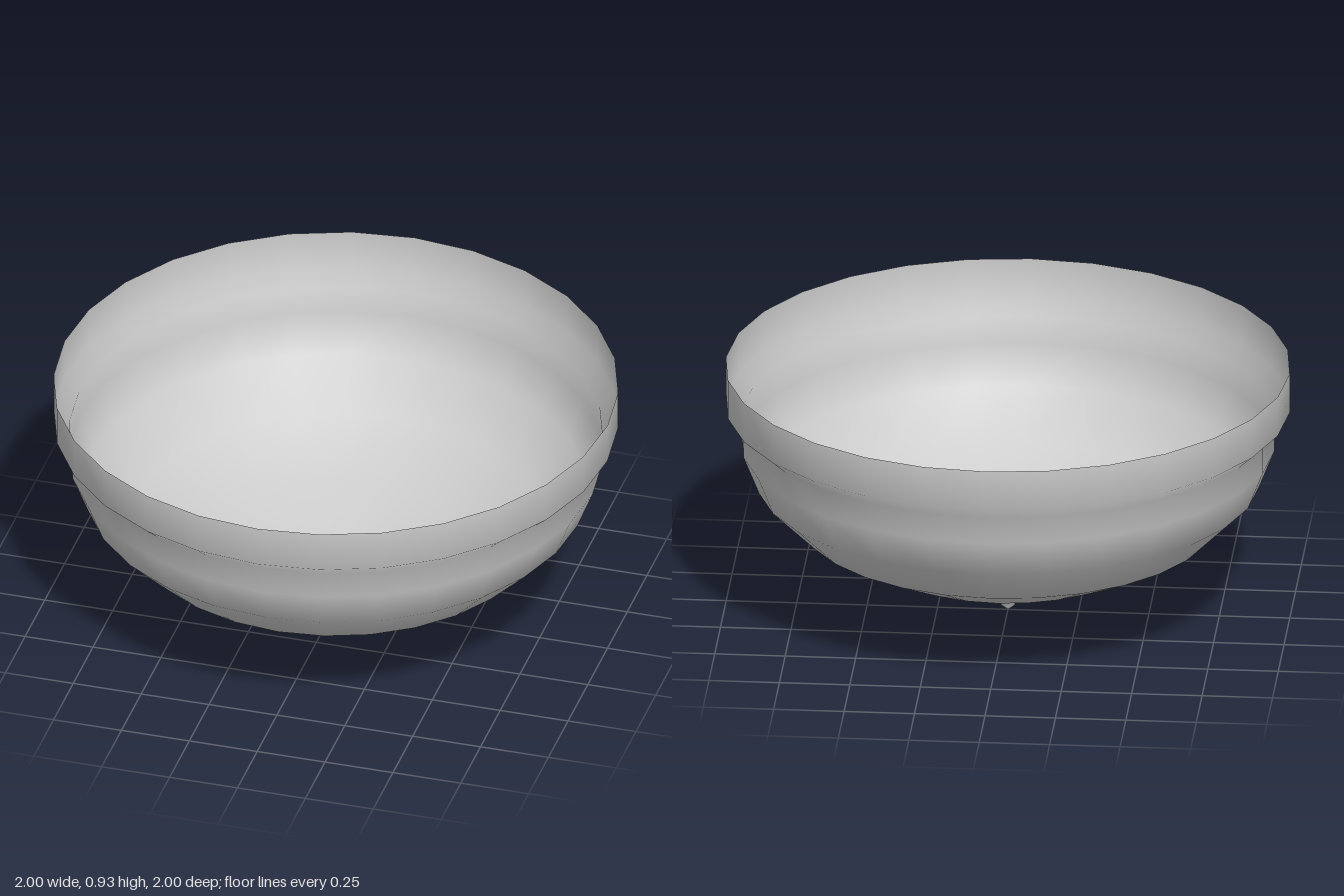
import * as THREE from 'three';

const SIDES = 28;

// Revolve a [radius, height] profile, listed bottom to top, around the y axis
function turned(name, profile, material) {
  const points = profile.map(([r, y]) => new THREE.Vector2(r, y));
  const mesh = new THREE.Mesh(new THREE.LatheGeometry(points, SIDES), material);
  mesh.name = name;
  return mesh;
}

export function createModel() {
  const group = new THREE.Group();
  group.name = 'bowlShade';
  const material = new THREE.MeshStandardMaterial({ color: 0xcccccc, side: THREE.DoubleSide });

  // Thin open bowl with a stepped rim and a round opening at the bottom
  group.add(turned('bowl', [
    [0.185, 0.145], [0.485, 0.22], [0.735, 0.34], [0.89, 0.495],
    [0.945, 0.635], [0.945, 0.735], [1, 0.785], [1, 0.933],
  ], material));

  // Stepped hollow cap and pointed tip closing the opening
  group.add(turned('finial', [
    [0, 0], [0.025, 0.02], [0.027, 0.055], [0.07, 0.067],
    [0.08, 0.1], [0.178, 0.13], [0.185, 0.145],
  ], material));

  return group;
}
